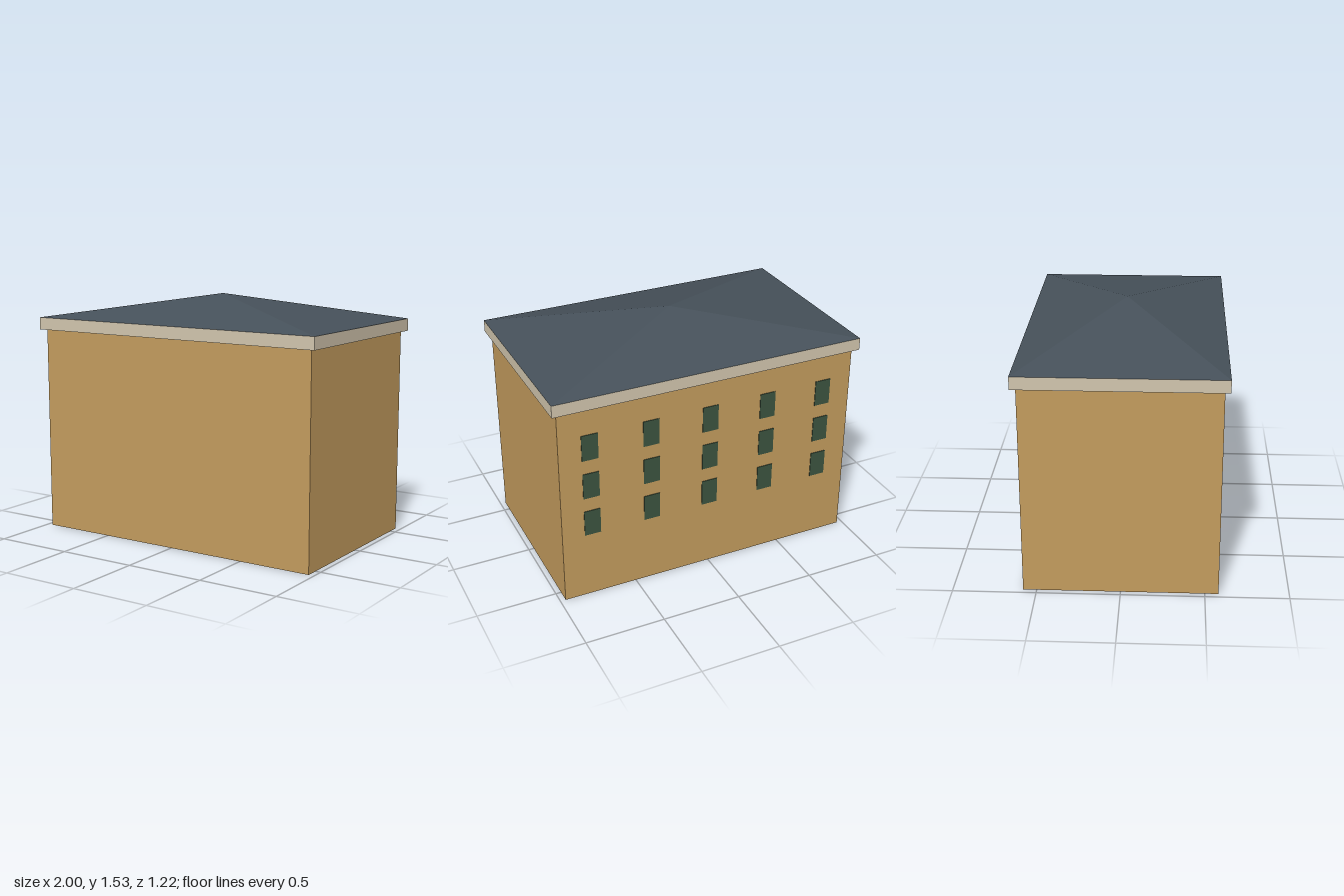
import * as THREE from 'three';

const material = (color) => new THREE.MeshStandardMaterial({ color, flatShading: true });

export function createModel() {
  const building = new THREE.Group();
  building.name = 'building';

  const wallColor = material(0xc49c5e);
  const trimColor = material(0xd2c6ae);
  const roofColor = material(0x46515a);
  const glassColor = material(0x3c5440);

  const wallW = 1.932, wallH = 1.295, wallD = 1.162;
  const eavesW = 2, eavesH = 0.077, eavesD = 1.224;
  const roofH = 0.158;

  const add = (name, geometry, mat, x, y, z, parent = building) => {
    const mesh = new THREE.Mesh(geometry, mat);
    mesh.name = name;
    mesh.position.set(x, y, z);
    parent.add(mesh);
    return mesh;
  };

  // Main block and the overhanging cornice
  add('walls', new THREE.BoxGeometry(wallW, wallH, wallD), wallColor, 0, wallH / 2, 0);
  add('cornice', new THREE.BoxGeometry(eavesW, eavesH, eavesD), trimColor, 0, wallH + eavesH / 2, 0);

  // Pyramid roof: a four-sided cone turned square, then stretched to the eaves
  const roof = new THREE.ConeGeometry(Math.SQRT1_2, roofH, 4)
    .rotateY(Math.PI / 4)
    .scale(eavesW, 1, eavesD);
  add('roof', roof, roofColor, 0, wallH + eavesH + roofH / 2, 0);

  // Three rows of five windows, slightly proud of the back wall
  const windows = new THREE.Group();
  windows.name = 'backWindows';
  building.add(windows);
  const pane = new THREE.BoxGeometry(0.103, 0.168, 0.012);
  for (let row = 0; row < 3; row++) {
    for (let col = -2; col <= 2; col++) {
      add('window', pane, glassColor, (col * wallW) / 5, 0.52 + row * 0.258, -wallD / 2 + 0.002, windows);
    }
  }

  return building;
}
